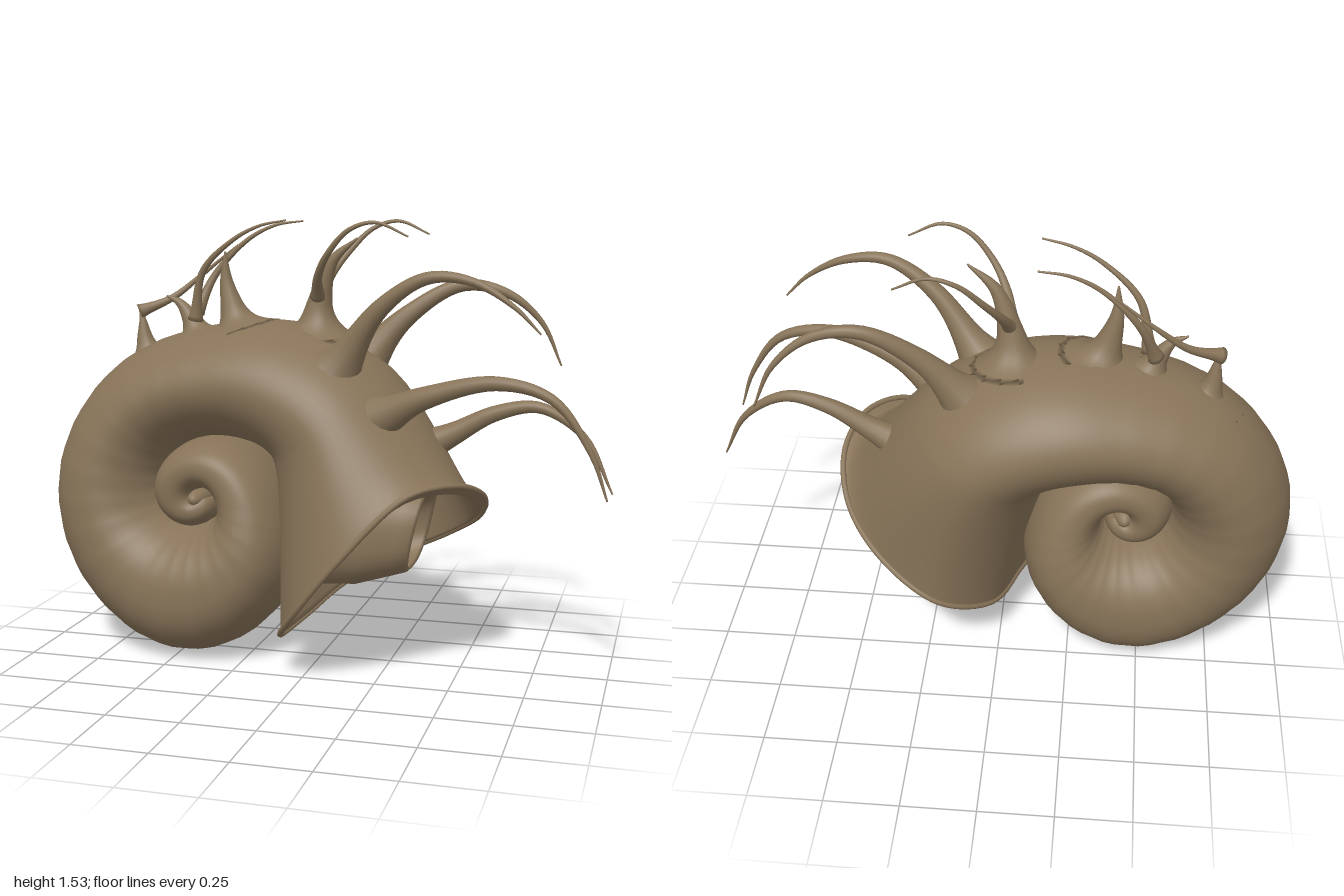
import * as THREE from 'three';

const V = (x, y, z) => new THREE.Vector3(x, y, z);
const SIDES = 56;
const CENTRE = V(-0.42, 0.57, 0);

// Whorl sections by coil angle: outer radius, inner radius, z centre, half depth
const KEYS = [
  [-30, 0.86, 0.42, 0.03, 0.36], [0, 0.86, 0.3, 0, 0.37], [30, 0.8, 0.28, -0.07, 0.36],
  [60, 0.69, 0.22, -0.1, 0.33], [90, 0.59, 0.19, -0.1, 0.295], [135, 0.57, 0.18, -0.09, 0.27],
  [180, 0.58, 0.16, -0.06, 0.27], [225, 0.58, 0.12, -0.04, 0.285], [270, 0.565, 0.09, -0.03, 0.31],
  [315, 0.44, 0.08, -0.03, 0.29], [360, 0.305, 0.05, -0.03, 0.25], [450, 0.205, 0.02, -0.03, 0.21],
  [540, 0.18, 0, -0.03, 0.19], [630, 0.11, -0.02, -0.03, 0.17], [720, 0.055, -0.03, -0.03, 0.14],
];
const sections = new THREE.CubicInterpolant(
  KEYS.map(k => k[0]), KEYS.flatMap(k => k.slice(1)), 4, new Float32Array(4));

// Flared mouth edge, from the outer point round by the front
const LIP = new THREE.CatmullRomCurve3([
  V(0.58, 0.63, 0.08), V(0.52, 0.69, 0.24), V(0.38, 0.67, 0.36), V(0.17, 0.46, 0.42),
  V(0, 0.25, 0.36), V(-0.09, 0.13, 0.2), V(-0.05, 0.15, 0), V(0.03, 0.21, -0.24),
  V(0.2, 0.3, -0.35), V(0.4, 0.41, -0.27), V(0.54, 0.52, -0.11),
], true);

const bulge = (v, e) => Math.sign(v) * Math.abs(v) ** e;

function whorlRing(deg) {
  const [outer, inner, zc, depth] = sections.evaluate(deg);
  const a = THREE.MathUtils.degToRad(deg);
  const fade = THREE.MathUtils.smoothstep(deg, 60, 110) * (1 - THREE.MathUtils.smoothstep(deg, 300, 380));
  const rib = 1 + 0.006 * fade * Math.sin(deg * 0.42);
  const e = 1.06 - 0.2 * THREE.MathUtils.smoothstep(deg, 185, 265);
  return Array.from({ length: SIDES }, (_, j) => {
    const p = j / SIDES * Math.PI * 2;
    const r = (outer + inner) / 2 + (outer - inner) / 2 * bulge(Math.cos(p), e) * rib;
    return V(CENTRE.x + r * Math.cos(a), CENTRE.y + r * Math.sin(a), zc + depth * rib * bulge(Math.sin(p), e));
  });
}

// Body opening out into the mouth: t = 0 is the last whorl, t = 1 the lip
function mouthRing(t) {
  const w = t * t * (3 - 2 * t);
  return whorlRing(30 - 40 * t).map((p, j) => p.lerp(LIP.getPointAt(j / SIDES), w));
}

const middle = ring => ring.reduce((s, p) => s.add(p), V(0, 0, 0)).divideScalar(ring.length);

function shrink(ring, k) {
  const c = middle(ring);
  return ring.map(p => c.clone().lerp(p, k));
}

// Skin over closed rings, with optional end caps
function loft(rings, capStart = false, capEnd = false) {
  const n = rings[0].length, last = rings.length - 1;
  const pts = rings.flat(), idx = [];
  for (let i = 0; i < last; i++) {
    for (let j = 0; j < n; j++) {
      const k = (j + 1) % n;
      const a = i * n + j, b = i * n + k, c = b + n, d = a + n;
      idx.push(a, b, c, a, c, d);
    }
  }
  const cap = (row, flip) => {
    const m = pts.push(middle(rings[row])) - 1;
    for (let j = 0; j < n; j++) {
      const a = row * n + j, b = row * n + (j + 1) % n;
      idx.push(m, flip ? b : a, flip ? a : b);
    }
  };
  if (capStart) cap(0, true);
  if (capEnd) cap(last, false);
  const g = new THREE.BufferGeometry().setFromPoints(pts);
  g.setIndex(idx);
  g.computeVertexNormals();
  return g;
}

// Tapering curved spine with a flared root
function spine(points, root, mid, tip = 0.003) {
  const curve = new THREE.CatmullRomCurve3(points.map(p => V(...p)));
  const steps = 36, n = 14;
  const f = curve.computeFrenetFrames(steps);
  const rings = [];
  for (let i = 0; i <= steps; i++) {
    const t = i / steps, c = curve.getPointAt(t);
    const r = tip + mid * (1 - t) + root * Math.exp(-t * 11);
    rings.push(Array.from({ length: n }, (_, j) => {
      const a = j / n * Math.PI * 2;
      return c.clone().addScaledVector(f.normals[i], r * Math.cos(a)).addScaledVector(f.binormals[i], r * Math.sin(a));
    }));
  }
  return loft(rings, true, true);
}

export function createModel() {
  const model = new THREE.Group();
  model.name = 'spinedShell';
  const shell = new THREE.MeshStandardMaterial({ color: 0x877358, side: THREE.DoubleSide });
  shell.name = 'shellBrown';
  const dark = new THREE.MeshStandardMaterial({ color: 0x2b2c12, side: THREE.DoubleSide });
  dark.name = 'darkOlive';
  const add = (name, geometry, material = shell) => {
    const m = new THREE.Mesh(geometry, material);
    m.name = name;
    model.add(m);
  };

  // Coiled body from the core out to the lip
  const rings = [];
  for (let s = 720; s > 30; s -= 5) rings.push(whorlRing(s));
  for (let i = 0; i <= 14; i++) rings.push(mouthRing(i / 14));
  add('coiledBody', loft(rings, true));
  add('coilCore', new THREE.SphereGeometry(0.055, 20, 16).scale(1, 1, 3.1).translate(-0.43, 0.565, -0.03));

  // Inner wall of the mouth and its rounded edge
  const lining = [mouthRing(1)];
  for (let i = 13; i >= 0; i--) lining.push(shrink(mouthRing(i / 14), 0.94));
  lining.push(shrink(whorlRing(50), 0.85));
  add('mouthLining', loft(lining, false, true));
  add('mouthRim', new THREE.TubeGeometry(LIP, 90, 0.01, 8, true));

  // Thick-walled funnel inside the mouth: x, y, half height, half width, z centre
  const funnelRing = ([x, y, h, w, z]) => Array.from({ length: 36 }, (_, j) => {
    const a = j / 36 * Math.PI * 2;
    const rise = h * bulge(Math.cos(a), 0.8);
    return V(x + 0.22 * rise, y + rise, z + w * bulge(Math.sin(a), 0.8));
  });
  add('funnel', loft([
    [-0.08, 0.6, 0.13, 0.13, 0.03], [0.05, 0.49, 0.2, 0.17, 0.06], [0.2, 0.49, 0.185, 0.18, 0.07],
    [0.32, 0.505, 0.16, 0.185, 0.07], [0.365, 0.51, 0.15, 0.182, 0.07], [0.375, 0.51, 0.138, 0.168, 0.07],
    [0.36, 0.5, 0.125, 0.15, 0.06], [0.31, 0.48, 0.11, 0.12, 0.05], [0.2, 0.465, 0.1, 0.09, 0.04],
  ].map(funnelRing)));
  add('funnelOpening', loft([
    [0.26, 0.465, 0.108, 0.105, 0.045], [0.25, 0.465, 0.05, 0.05, 0.045],
  ].map(funnelRing), false, true), dark);

  // Large curved spines above the mouth
  const large = [
    [[0.23, 0.71, -0.06], [0.33, 0.75, -0.06], [0.45, 0.81, -0.05], [0.6, 0.89, -0.04], [0.75, 0.915, -0.03], [0.9, 0.82, -0.02], [0.995, 0.64, 0]],
    [[0.14, 0.84, 0.08], [0.25, 0.89, 0.14], [0.4, 0.965, 0.19], [0.64, 1.025, 0.23], [0.82, 0.98, 0.25], [0.94, 0.82, 0.26], [0.995, 0.67, 0.26]],
    [[0.03, 0.97, 0.06], [0.11, 1.08, 0.09], [0.24, 1.25, 0.14], [0.4, 1.35, 0.17], [0.55, 1.34, 0.18], [0.69, 1.26, 0.2], [0.77, 1.18, 0.2]],
    [[0.06, 0.97, -0.16], [0.13, 1.06, -0.18], [0.26, 1.2, -0.2], [0.44, 1.305, -0.23], [0.6, 1.28, -0.24], [0.72, 1.18, -0.26], [0.79, 1.03, -0.27]],
  ];
  large.forEach(p => add('largeSpine', spine(p, 0.13, 0.04)));

  // Short horns along the crest
  const horns = [
    [[-0.04, 1.13, -0.1], [-0.03, 1.25, -0.09], [0.02, 1.39, -0.07], [0.11, 1.47, -0.06]],
    [[-0.32, 1.14, -0.08], [-0.35, 1.23, -0.08], [-0.37, 1.32, -0.08], [-0.37, 1.42, -0.07]],
    [[-0.48, 1.11, -0.09], [-0.51, 1.18, -0.09], [-0.55, 1.235, -0.09], [-0.6, 1.26, -0.09]],
    [[-0.67, 1.03, -0.1], [-0.69, 1.1, -0.1], [-0.7, 1.18, -0.1], [-0.71, 1.21, -0.1]],
  ];
  horns.forEach((p, i) => add('crestHorn', spine(p, 0.09, i < 2 ? 0.055 : 0.045)));

  // Thin whiskers growing from the crest
  const whiskers = [
    [[-0.48, 1.18, -0.06], [-0.44, 1.35, -0.03], [-0.32, 1.46, 0], [-0.22, 1.51, 0.01], [-0.12, 1.53, 0.02]],
    [[-0.5, 1.2, -0.13], [-0.44, 1.34, -0.175], [-0.32, 1.46, -0.18], [-0.22, 1.51, -0.185], [-0.12, 1.525, -0.19]],
    [[-0.71, 1.2, -0.1], [-0.6, 1.25, -0.15], [-0.5, 1.33, -0.18], [-0.36, 1.44, -0.185]],
  ];
  for (const side of [-1, 1]) {
    const z = d => -0.08 + side * d;
    whiskers.push([[-0.03, 1.27, z(0.02)], [-0.01, 1.34, z(0.09)], [0.04, 1.42, z(0.15)],
      [0.12, 1.5, z(0.18)], [0.21, 1.525, z(0.185)], [0.32, 1.48, z(0.18)]]);
  }
  whiskers.forEach(p => add('whisker', spine(p, 0.012, 0.013)));

  return model;
}
